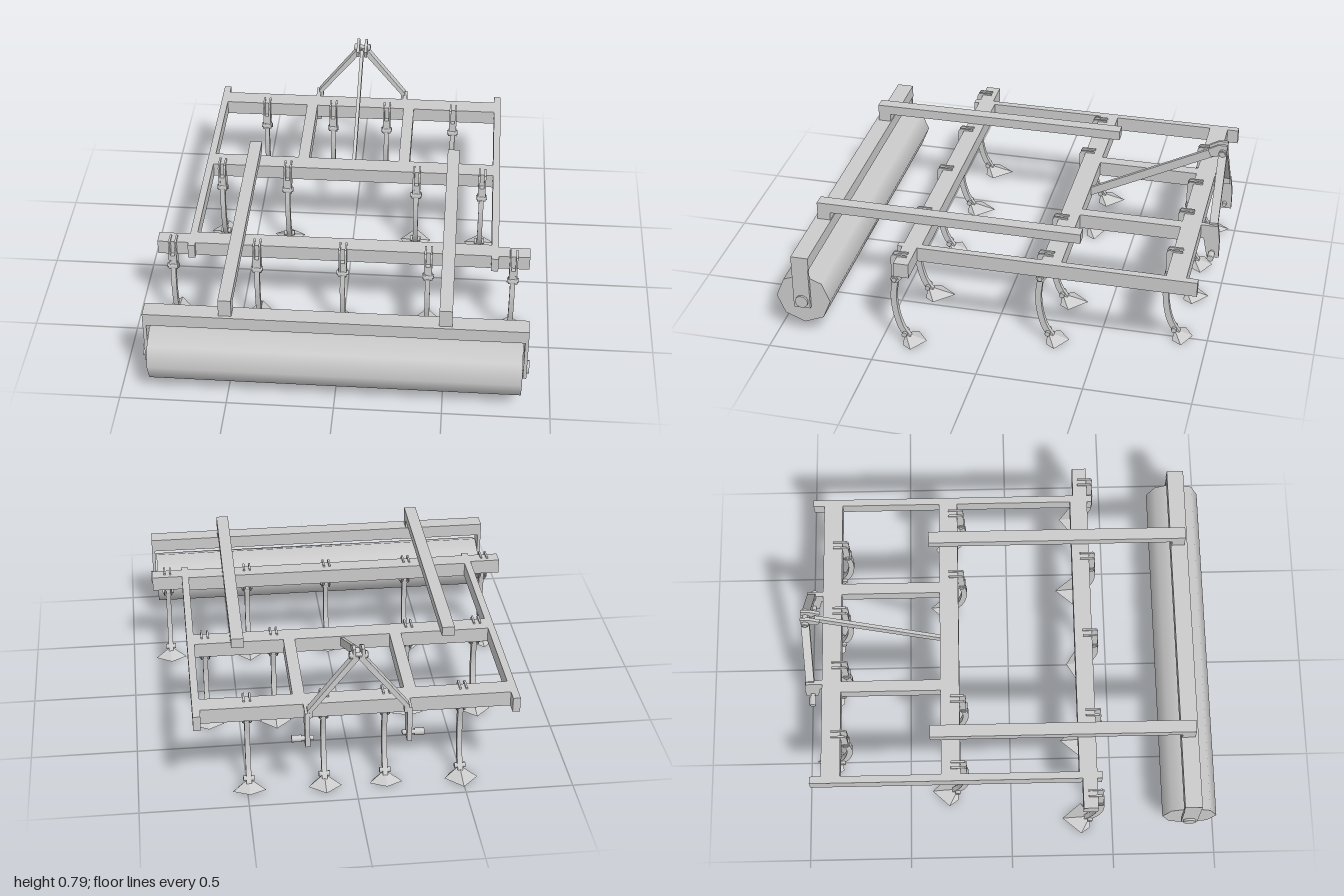
import * as THREE from 'three';

const grey = new THREE.MeshStandardMaterial({ color: 0xcccccc });
const thin = new THREE.MeshStandardMaterial({ color: 0xcccccc, side: THREE.DoubleSide });

function add(parent, name, geometry, material = grey) {
  const mesh = new THREE.Mesh(geometry, material);
  mesh.name = name;
  parent.add(mesh);
  return mesh;
}

// Box given by its limits on each axis
function box(parent, name, [x0, x1], [y0, y1], [z0, z1]) {
  const g = new THREE.BoxGeometry(x1 - x0, y1 - y0, z1 - z0);
  g.translate((x0 + x1) / 2, (y0 + y1) / 2, (z0 + z1) / 2);
  return add(parent, name, g);
}

// Cylinder lying along x
function rod(parent, name, radius, length, x, y, z, sides = 12) {
  const g = new THREE.CylinderGeometry(radius, radius, length, sides);
  g.rotateZ(Math.PI / 2).translate(x, y, z);
  return add(parent, name, g);
}

// Plate with an outline in (z, y), centred on x
function sidePlate(parent, name, outline, width, x = 0) {
  const shape = new THREE.Shape(outline.map(p => new THREE.Vector2(...p)));
  const g = new THREE.ExtrudeGeometry(shape, { depth: width, bevelEnabled: false });
  g.translate(0, 0, -width / 2).rotateY(-Math.PI / 2).translate(x, 0, 0);
  return add(parent, name, g);
}

// Curved shank outline: centre line offset to both sides
function shankOutline() {
  const curve = new THREE.SplineCurve([
    [0.012, 0.41], [0.016, 0.34], [0.026, 0.25], [0.018, 0.16], [-0.004, 0.08], [-0.038, 0.025],
  ].map(p => new THREE.Vector2(...p)));
  const left = [], right = [];
  for (let i = 0; i <= 14; i++) {
    const p = curve.getPoint(i / 14), t = curve.getTangent(i / 14), h = 0.014;
    left.push([p.x - t.y * h, p.y + t.x * h]);
    right.unshift([p.x + t.y * h, p.y - t.x * h]);
  }
  return [...left, ...right];
}

// Ridged shovel with a pointed tip, two wings and a narrower heel
function shovelGeometry(tipZ) {
  const ridge = [0, 0.042, -0.02], tip = [0, 0.012, tipZ], pos = [];
  for (const s of [1, -1]) {
    const wing = [s * 0.077, 0.004, -0.065], heel = [s * 0.045, 0.002, -0.02];
    const tris = s > 0 ? [ridge, wing, tip, ridge, heel, wing] : [ridge, tip, wing, ridge, wing, heel];
    pos.push(...tris.flat());
  }
  const g = new THREE.BufferGeometry();
  g.setAttribute('position', new THREE.Float32BufferAttribute(pos, 3));
  g.computeVertexNormals();
  return g;
}

// One spring tine; its origin lies on the rear face of the bar
function makeTine(x, z, tipZ) {
  const tine = new THREE.Group();
  tine.name = 'tine';
  tine.position.set(x, 0, z);
  sidePlate(tine, 'shank', shankOutline(), 0.024);
  for (const s of [-1, 1]) {
    sidePlate(tine, 'clampStrap', [
      [-0.05, 0.40], [-0.045, 0.485], [0.02, 0.485], [0.03, 0.47], [0.03, 0.34], [0.004, 0.33],
    ], 0.009, s * 0.0145);
  }
  rod(tine, 'clampBolt', 0.012, 0.056, 0, 0.35, 0.016, 8);
  rod(tine, 'clampNut', 0.02, 0.044, 0, 0.35, 0.016, 6);
  rod(tine, 'shovelBolt', 0.013, 0.052, 0, 0.045, -0.022, 8);
  add(tine, 'shovel', shovelGeometry(tipZ), thin);
  return tine;
}

export function createModel() {
  const model = new THREE.Group();
  model.name = 'cultivator';

  // Main frame
  const frame = new THREE.Group();
  frame.name = 'frame';
  model.add(frame);
  const barY = [0.405, 0.477];
  box(frame, 'frontBar', [-0.71, 0.71], barY, [-0.91, -0.818]);
  box(frame, 'middleBar', [-0.71, 0.71], barY, [-0.335, -0.243]);
  box(frame, 'rearBar', [-0.71, 0.71], barY, [0.325, 0.411]);
  for (const s of [-1, 1]) {
    const span = (a, b) => (s > 0 ? [a, b] : [-b, -a]);
    box(frame, 'sideRail', span(0.704, 0.738), barY, [-0.965, 0.435]);
    box(frame, 'rearBarEnd', span(0.73, 0.886), barY, [0.341, 0.411]);
    box(frame, 'innerRail', span(0.227, 0.282), barY, [-0.82, -0.333]);

    // Roller arm: long beam on top of the frame with a short drop at its end
    sidePlate(model, 'rollerArm', [
      [-0.387, 0.477], [-0.387, 0.525], [0.893, 0.525], [0.893, 0.435], [0.83, 0.435], [0.83, 0.477],
    ], 0.06, s * 0.503);

    // Roller end plates
    box(model, 'rollerBracket', span(0.866, 0.882), [0.16, 0.437], [0.829, 0.909]);

    // Lower hitch
    sidePlate(model, 'hitchPlate', [
      [-0.925, 0.477], [-0.925, 0.40], [-0.943, 0.305], [-1, 0.305], [-1, 0.40], [-0.99, 0.477],
    ], 0.022, s * 0.23);
    box(model, 'hitchMount', span(0.219, 0.241), [0.405, 0.477], [-0.95, -0.905]);
    rod(model, 'hitchPin', 0.011, 0.1, s * 0.25, 0.333, -0.967);
    rod(model, 'hitchPinHead', 0.016, 0.045, s * 0.278, 0.333, -0.967);

    // Sloping mast leg
    const leg = new THREE.Shape([
      [0.207, 0.45], [0.229, 0.45], [0.229, 0.487], [0.022, 0.755], [0.002, 0.755], [0.002, 0.737], [0.207, 0.482],
    ].map(([x, y]) => new THREE.Vector2(s * x, y)));
    const legGeo = new THREE.ExtrudeGeometry(leg, { depth: 0.04, bevelEnabled: false });
    add(model, 'mastLeg', legGeo.translate(0, 0, -0.987));

    // Top link bracket
    sidePlate(model, 'topBracket', [
      [-0.945, 0.793], [-0.987, 0.793], [-0.987, 0.737], [-0.91, 0.727], [-0.896, 0.765],
    ], 0.014, s * 0.02);
  }
  rod(model, 'topPin', 0.012, 0.086, 0, 0.755, -0.967);
  for (const s of [-1, 1]) rod(model, 'topPinNut', 0.018, 0.014, s * 0.033, 0.755, -0.967, 8);
  sidePlate(model, 'mastBrace', [
    [-0.92, 0.764], [-0.95, 0.732], [-0.335, 0.425], [-0.335, 0.469],
  ], 0.017);

  // Packer roller
  box(model, 'rollerBeam', [-0.882, 0.882], [0.373, 0.437], [0.826, 0.909]);
  rod(model, 'roller', 0.132, 1.72, 0, 0.197, 0.868, 8);
  rod(model, 'rollerAxle', 0.031, 1.786, 0, 0.197, 0.868, 16);

  // Rows of tines: bar rear face z, then [x, shovel tip z] for each tine
  const rows = [
    [0.411, [[-0.813, -0.157], [-0.41, -0.157], [0, -0.112], [0.407, -0.157], [0.81, -0.125]]],
    [-0.243, [[-0.66, -0.149], [-0.328, -0.1], [0.323, -0.149], [0.652, -0.122]]],
    [-0.818, [[-0.495, -0.152], [-0.143, -0.113], [0.14, -0.135], [0.49, -0.11]]],
  ];
  for (const [z, tines] of rows) {
    for (const [x, tipZ] of tines) model.add(makeTine(x, z, tipZ));
  }
  return model;
}
